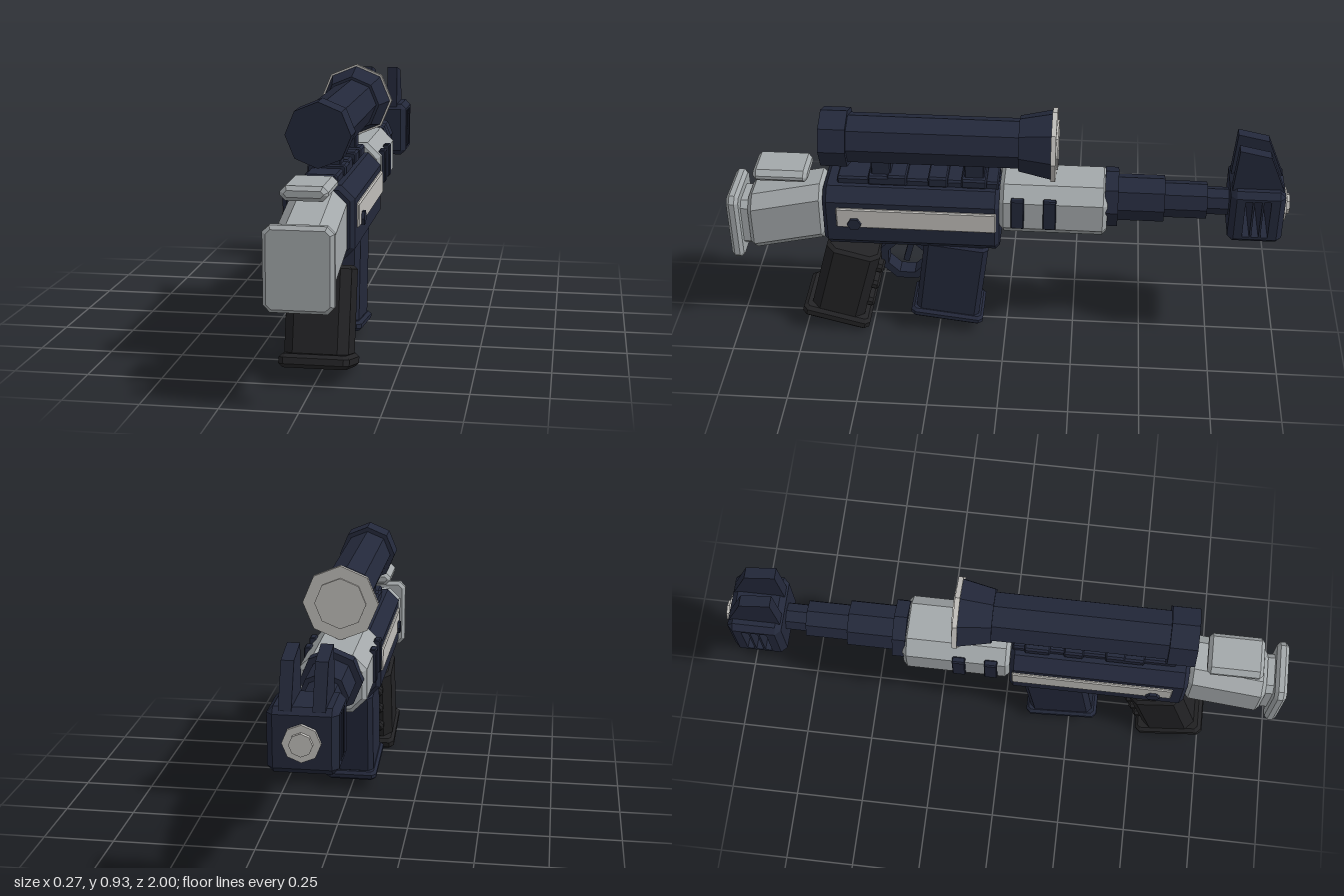
import * as THREE from 'three';

const mat = (color) => new THREE.MeshStandardMaterial({ color, flatShading: true });

// Rectangle outline with cut corners
function cutRect(w, h, c, Path = THREE.Shape) {
  const x = w / 2, y = h / 2, p = new Path();
  p.setFromPoints([[x - c, -y], [x, -y + c], [x, y - c], [x - c, y], [-x + c, y], [-x, y - c], [-x, -y + c], [-x + c, -y]]
    .map(([a, b]) => new THREE.Vector2(a, b)));
  return p;
}

// Box with cut long edges (c) and bevelled ends (b), centred on the origin
function chamferBox(w, h, d, c, b) {
  const g = new THREE.ExtrudeGeometry(cutRect(w - 2 * b, h - 2 * b, c), {
    depth: d - 2 * b, bevelEnabled: true, bevelSize: b, bevelThickness: b, bevelSegments: 1,
  });
  return g.translate(0, 0, -(d - 2 * b) / 2);
}

// Profile drawn in (z, y), extruded across x and centred
function sideExtrude(shape, width, steps = 1) {
  return new THREE.ExtrudeGeometry(shape, { depth: width, steps, bevelEnabled: false })
    .translate(0, 0, -width / 2).rotateY(-Math.PI / 2);
}

export function createModel() {
  const model = new THREE.Group();
  const navy = mat(0x23283a), grey = mat(0xa3a8aa), pale = mat(0xbfbdb9), black = mat(0x222224);

  function add(name, geo, material, x = 0, y = 0, z = 0, parent = model) {
    const m = new THREE.Mesh(geo, material);
    m.name = name;
    m.position.set(x, y, z);
    parent.add(m);
    return m;
  }
  // Chamfered box given by its z and y ranges
  const block = (name, material, w, y0, y1, z0, z1, c, b, x = 0) =>
    add(name, chamferBox(w, y1 - y0, z1 - z0, c, b), material, x, (y0 + y1) / 2, (z0 + z1) / 2);
  // Eight-sided stage along z; rFront is the radius at z0 (the muzzle end)
  const stage = (name, material, y, z0, z1, rFront, rBack = rFront) =>
    add(name, new THREE.CylinderGeometry(rBack, rFront, z1 - z0, 8).rotateX(Math.PI / 2), material, 0, y, (z0 + z1) / 2);

  // Stock, sheared so it drops toward the rear
  const stock = chamferBox(0.19, 0.235, 0.28, 0.035, 0.015);
  const sp = stock.attributes.position;
  for (let i = 0; i < sp.count; i++) sp.setY(i, sp.getY(i) - 0.23 * sp.getZ(i));
  stock.computeVertexNormals();
  add('stock', stock, grey, 0, 0.488, 0.79);
  block('stockTail', grey, 0.15, 0.36, 0.55, 0.9, 0.97, 0.02, 0.005);
  block('buttPlate', grey, 0.22, 0.32, 0.59, 0.957, 1.0, 0.015, 0.012);
  block('cheekRest', grey, 0.15, 0.643, 0.69, 0.705, 0.9, 0.01, 0.013);

  // Receiver and handguard
  block('receiver', navy, 0.235, 0.395, 0.645, 0.02, 0.65, 0.035, 0.015);
  block('handguard', grey, 0.23, 0.472, 0.675, -0.36, 0.02, 0.04, 0.015);
  for (const s of [1, -1]) {
    block('sidePlate', pale, 0.02, 0.5, 0.58, 0.03, 0.6, 0.002, 0.004, s * 0.116);
    add('sideBolt', new THREE.CylinderGeometry(0.025, 0.025, 0.03, 6).rotateZ(Math.PI / 2), navy, s * 0.121, 0.52, 0.535);
    for (const z of [-0.045, -0.158]) block('handguardVent', navy, 0.025, 0.525, 0.645, z - 0.023, z + 0.023, 0.003, 0.003, s * 0.115);
  }

  // Stepped barrel
  const by = 0.595;
  stage('barrelCollar', navy, by, -0.397, -0.35, 0.107);
  stage('barrelRear', navy, by, -0.56, -0.39, 0.084);
  stage('barrelMiddle', navy, by, -0.71, -0.55, 0.067);
  stage('barrelFront', navy, by, -0.795, -0.7, 0.05);

  // Muzzle block with three slots through it; its side edges are pulled in
  const outline = cutRect(0.19, 0.21, 0.02);
  for (const z of [-0.032, 0, 0.032]) {
    const slot = new THREE.Path();
    slot.setFromPoints([[-1, -1], [-1, 1], [1, 1], [1, -1]].map(([a, b]) => new THREE.Vector2(z + a * 0.0125, b * 0.075)));
    outline.holes.push(slot);
  }
  const muzzle = sideExtrude(outline, 0.22, 11);
  const mp = muzzle.attributes.position;
  for (let i = 0; i < mp.count; i++) {
    if (Math.abs(mp.getX(i)) < 0.109) continue;
    mp.setY(i, THREE.MathUtils.clamp(mp.getY(i), -0.085, 0.085));
    mp.setZ(i, THREE.MathUtils.clamp(mp.getZ(i), -0.075, 0.075));
  }
  muzzle.computeVertexNormals();
  add('muzzleBlock', muzzle, navy, 0, by, -0.88);
  stage('muzzleRing', pale, by, -0.987, -0.965, 0.06);
  stage('muzzleTip', pale, by, -1.0, -0.98, 0.037);

  // Pair of front sight fins
  const fin = new THREE.Shape([[-0.97, 0.69], [-0.79, 0.69], [-0.803, 0.853], [-0.912, 0.83]].map((p) => new THREE.Vector2(...p)));
  for (const s of [1, -1]) add('sightFin', sideExtrude(fin, 0.04), navy, s * 0.052);

  // Rail, teeth and scope mounts
  block('rail', navy, 0.11, 0.635, 0.67, 0.025, 0.6, 0.004, 0.005);
  for (const z of [0.385, 0.24]) block('railTooth', navy, 0.13, 0.645, 0.687, z - 0.035, z + 0.035, 0.004, 0.005);
  for (const z of [0.443, 0.112]) {
    block('scopeMount', navy, 0.09, 0.66, 0.74, z - 0.035, z + 0.035, 0.004, 0.004);
    block('mountFoot', navy, 0.13, 0.645, 0.682, z - 0.045, z + 0.045, 0.004, 0.005);
  }

  // Scope
  const sy = 0.805;
  stage('eyepiece', navy, sy, 0.555, 0.65, 0.107);
  stage('scopeTube', navy, sy, -0.05, 0.56, 0.09);
  stage('scopeBell', navy, sy, -0.16, -0.045, 0.125, 0.1);
  stage('scopeRim', pale, sy, -0.175, -0.158, 0.132);
  stage('scopeLens', pale, sy, -0.182, -0.17, 0.09);

  // Pistol grip with finger ridges
  const grip = new THREE.Group();
  grip.name = 'grip';
  grip.position.set(0, 0.218, 0.593);
  grip.rotation.x = -0.26;
  model.add(grip);
  const upright = (w, h, d, c, b) => chamferBox(w, d, h, c, b).rotateX(Math.PI / 2);
  add('gripBody', upright(0.21, 0.3, 0.2, 0.025, 0.012), black, 0, 0, 0, grip);
  add('gripBase', upright(0.23, 0.045, 0.255, 0.01, 0.012), black, 0, -0.162, 0, grip);
  for (const y of [0.085, 0.005, -0.08]) add('fingerRidge', chamferBox(0.15, 0.038, 0.04, 0.006, 0.008), black, 0, y, -0.105, grip);

  // Magazine
  const magazine = new THREE.Group();
  magazine.name = 'magazine';
  magazine.position.set(0, 0.243, 0.198);
  magazine.rotation.x = -0.125;
  model.add(magazine);
  add('magazineBody', upright(0.165, 0.32, 0.235, 0.012, 0.01), navy, 0, 0, 0, magazine);
  add('magazineBase', upright(0.19, 0.034, 0.27, 0.01, 0.01), navy, 0, -0.168, 0, magazine);

  // Trigger and its eight-sided guard
  const ring = (r) => Array.from({ length: 8 }, (_, i) => {
    const a = (i + 0.5) * Math.PI / 4;
    return new THREE.Vector2(r * Math.cos(a), r * Math.sin(a));
  });
  const guard = new THREE.Shape(ring(0.102));
  guard.holes.push(new THREE.Path(ring(0.073)));
  add('triggerGuard', sideExtrude(guard, 0.06), navy, 0, 0.302, 0.368);
  const trigger = add('trigger', new THREE.BoxGeometry(0.03, 0.08, 0.022), navy, 0, 0.315, 0.362);
  trigger.rotation.x = -0.26;

  return model;
}
